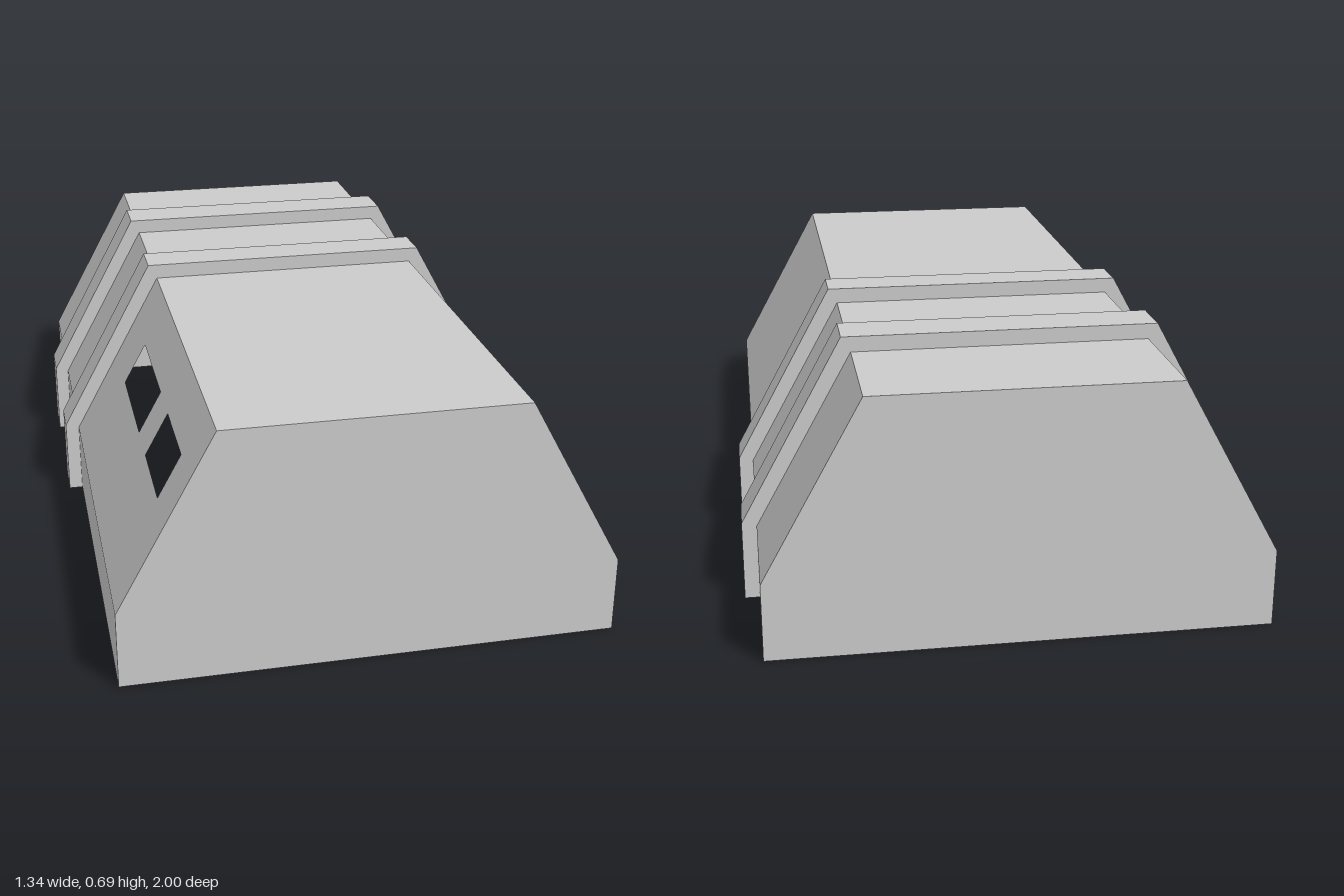
import * as THREE from 'three';

const material = new THREE.MeshStandardMaterial({ color: 0xcccccc, flatShading: true, side: THREE.DoubleSide });

// Half-hexagon cross-section, running from the -x foot over the roof to the +x foot
const section = (foot, knee, roof, top) =>
  [[-foot, 0], [-foot, knee], [-roof, top], [roof, top], [foot, knee], [foot, 0]];
const INNER = section(0.632, 0.2, 0.381, 0.655);
const OUTER = section(0.67, 0.21, 0.405, 0.695);
const WALL_NAMES = ['rightWall', 'rightSlope', 'roof', 'leftSlope', 'leftWall'];

const END = 0.997;
const BANDS = [[-0.655, -0.53], [-0.193, -0.08]];
const WINDOWS = [[0.14, 0.48], [0.62, 0.86]];

const toVectors = (pts) => pts.map(([x, y]) => new THREE.Vector2(x, y));
const rectangle = (z0, z1, t0, t1) => toVectors([[z0, t0], [z1, t0], [z1, t1], [z0, t1]]);

function add(parent, name, geometry) {
  const mesh = new THREE.Mesh(geometry, material);
  mesh.name = name;
  parent.add(mesh);
  return mesh;
}

// Flat wall between section points a and b, spanning z0..z1, with optional window openings
function wallGeometry(a, b, z0, z1, holes = []) {
  const shape = new THREE.Shape(rectangle(z0, z1, 0, 1));
  for (const [h0, h1] of holes) shape.holes.push(new THREE.Path(rectangle(h0, h1, 0.5, 0.74)));
  const geometry = new THREE.ShapeGeometry(shape);
  const p = geometry.attributes.position;
  for (let i = 0; i < p.count; i++) {
    const z = p.getX(i), t = p.getY(i);
    p.setXYZ(i, a[0] + (b[0] - a[0]) * t, a[1] + (b[1] - a[1]) * t, z);
  }
  geometry.computeVertexNormals();
  return geometry;
}

// The five walls of a tunnel segment
function addSegment(parent, pts, z0, z1, windows = []) {
  WALL_NAMES.forEach((name, i) =>
    add(parent, name, wallGeometry(pts[i], pts[i + 1], z0, z1, name === 'rightSlope' ? windows : [])));
}

// Flat face across z, seen from the front or, when turned, from the back
function addFace(parent, name, pts, z, back) {
  const geometry = new THREE.ShapeGeometry(new THREE.Shape(toVectors(pts)));
  if (back) geometry.rotateY(Math.PI);
  add(parent, name, geometry).position.z = z;
}

export function createModel() {
  const model = new THREE.Group();
  model.name = 'shelter';

  // Hollow body, split where the raised bands sit
  const body = new THREE.Group();
  body.name = 'body';
  addSegment(body, INNER, -END, BANDS[0][0]);
  addSegment(body, INNER, BANDS[0][1], BANDS[1][0]);
  addSegment(body, INNER, BANDS[1][1], END, WINDOWS);
  addFace(body, 'frontEnd', INNER, END, false);
  addFace(body, 'backEnd', INNER, -END, true);
  model.add(body);

  // Raised bands, open towards the inside
  for (const [z0, z1] of BANDS) {
    const band = new THREE.Group();
    band.name = 'raisedBand';
    addSegment(band, OUTER, z0, z1);
    const rim = [...OUTER, ...[...INNER].reverse()];
    addFace(band, 'bandFrontRim', rim, z1, false);
    addFace(band, 'bandBackRim', rim, z0, true);
    for (const side of [-1, 1]) {
      const width = OUTER[5][0] - INNER[5][0];
      const foot = add(band, 'bandFoot', new THREE.PlaneGeometry(width, z1 - z0).rotateX(Math.PI / 2));
      foot.position.set(side * (INNER[5][0] + width / 2), 0, (z0 + z1) / 2);
    }
    model.add(band);
  }

  // The whole shell sits very slightly askew
  model.rotation.y = -0.005;
  model.position.x = -0.003;
  return model;
}
